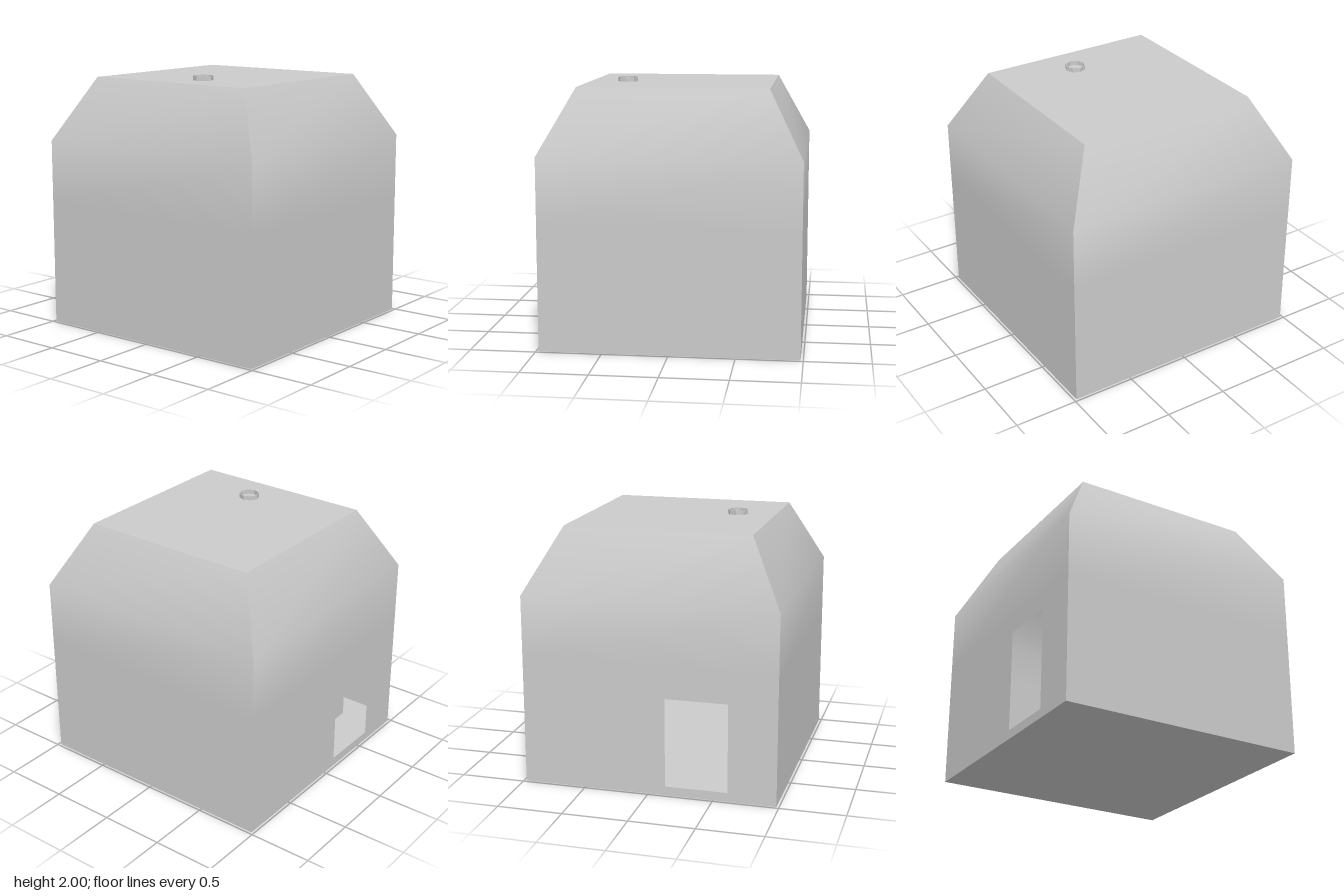
import * as THREE from 'three';

const HALF = 0.98, ROOF_HALF = 0.72;
const MID = 0.98, EAVE = 1.47, ROOF = 1.965, FLOOR = 0.07;

const shell = new THREE.MeshStandardMaterial({ color: 0xcccccc, side: THREE.DoubleSide });
const flat = new THREE.MeshStandardMaterial({ color: 0xcccccc, side: THREE.DoubleSide, flatShading: true });
const inside = new THREE.MeshStandardMaterial({ color: 0xcccccc, side: THREE.BackSide, flatShading: true });

function add(parent, name, geometry, material, x = 0, y = 0, z = 0) {
  const mesh = new THREE.Mesh(geometry, material);
  mesh.name = name;
  mesh.position.set(x, y, z);
  parent.add(mesh);
  return mesh;
}

// Rectangle as a shape, optionally with a rectangular hole
function rect(Type, x0, y0, x1, y1) {
  return new Type([[x0, y0], [x1, y0], [x1, y1], [x0, y1]].map(p => new THREE.Vector2(...p)));
}
function panel(outer, hole) {
  const shape = rect(THREE.Shape, ...outer);
  if (hole) shape.holes.push(rect(THREE.Path, ...hole));
  return new THREE.ShapeGeometry(shape);
}

// Upper wall: upright strip, then a strip leaning in to the roof, smooth across the bend
function upperWall() {
  const g = new THREE.PlaneGeometry(2, 2, 1, 2);
  const p = g.attributes.position;
  const rows = [[ROOF_HALF, ROOF], [HALF, EAVE], [HALF, MID]];
  for (let i = 0; i < p.count; i++) {
    const [half, y] = rows[Math.floor(i / 2)];
    p.setXYZ(i, Math.sign(p.getX(i)) * half, y, half);
  }
  g.computeVertexNormals();
  return g;
}

export function createModel() {
  const model = new THREE.Group();
  model.name = 'house';

  // Four walls; the back one has the doorway
  ['frontWall', 'leftWall', 'backWall', 'rightWall'].forEach((name, i) => {
    const wall = new THREE.Group();
    wall.name = name;
    wall.rotation.y = i * Math.PI / 2;
    const door = name === 'backWall' ? [0.13, 0.07, 0.61, 0.86] : null;
    add(wall, name + 'Lower', panel([-HALF, 0, HALF, MID], door), shell, 0, 0, HALF);
    add(wall, name + 'Upper', upperWall(), shell);
    model.add(wall);
  });

  // Flat roof and underside
  const roof = add(model, 'roof', new THREE.PlaneGeometry(2 * ROOF_HALF, 2 * ROOF_HALF), shell, 0, ROOF, 0);
  roof.rotation.x = -Math.PI / 2;
  const base = add(model, 'base', new THREE.PlaneGeometry(2 * HALF, 2 * HALF), shell);
  base.rotation.x = Math.PI / 2;

  // Indoor floor with a shallow rectangular pit
  const floor = add(model, 'floor',
    panel([-HALF, -HALF, HALF, HALF], [0.33, -0.16, 0.61, 0.16]), shell, 0, FLOOR, 0);
  floor.rotation.x = -Math.PI / 2;
  add(model, 'floorPit', new THREE.BoxGeometry(0.28, 0.05, 0.32), inside, 0.47, FLOOR - 0.025, 0);

  // Post beside the doorway, indoors
  add(model, 'indoorPost', new THREE.BoxGeometry(0.15, 0.5, 0.18), flat, -0.68, FLOOR + 0.25, -0.58);

  // Thin open chimney rim with eight sides
  const rim = new THREE.LatheGeometry([[0.072, 0], [0.078, 0], [0.078, 0.035], [0.072, 0.035], [0.072, 0]]
    .map(p => new THREE.Vector2(...p)), 8);
  add(model, 'chimneyRim', rim, flat, -0.427, ROOF, 0.102);

  return model;
}
